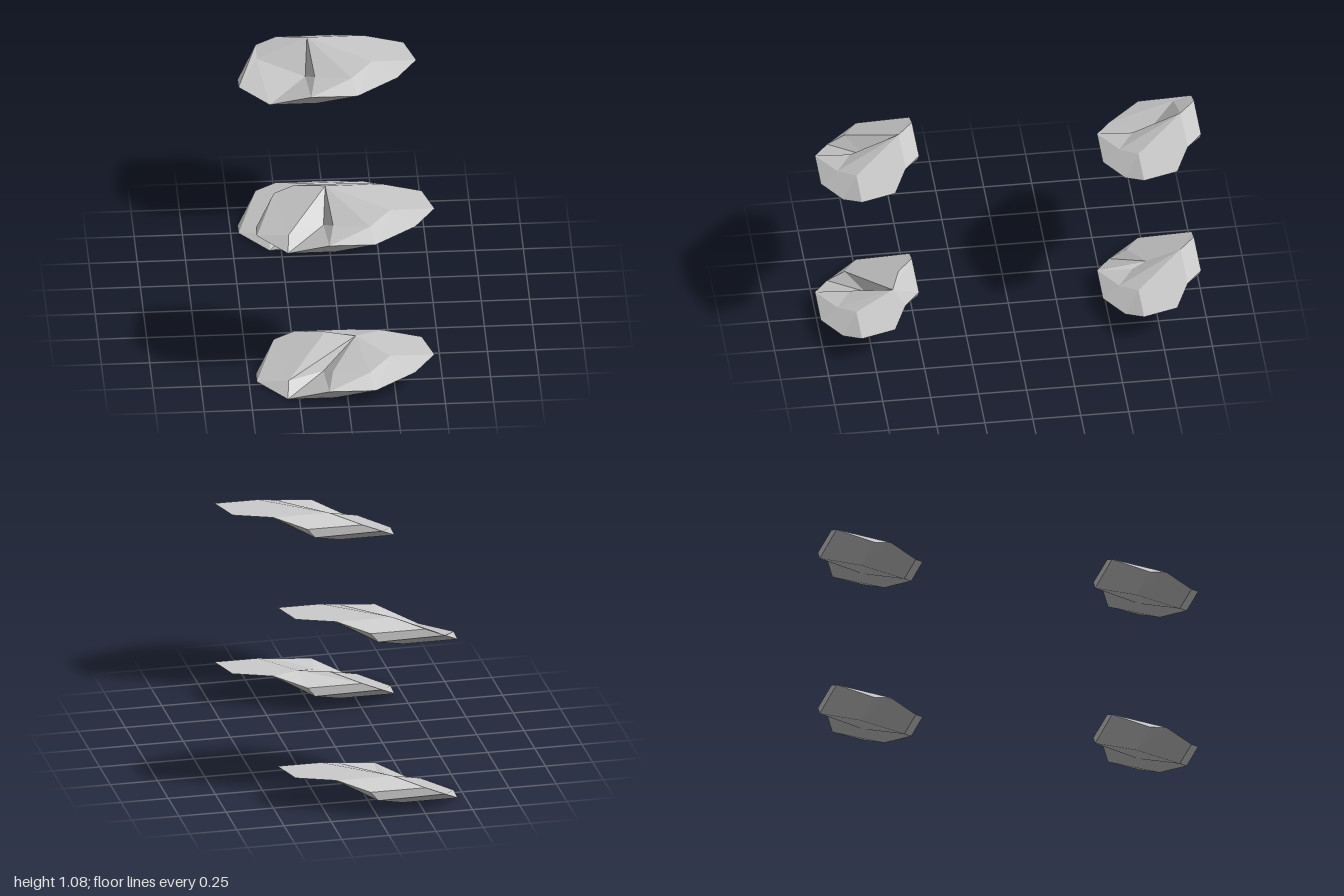
import * as THREE from 'three';

const material = new THREE.MeshStandardMaterial({ color: 0xcccccc, flatShading: true });
const peak = [-0.095, 0.19, -0.175];

// One slanted slab of rock: three loops (base, rim, crown) joined by bands and capped.
function rockGeometry({ hollow, shoulder, apex }) {
  const backL = [-0.46, 0, -0.09], tipL = [-0.46, 0.008, 0], backBase = [-0.17, 0, -0.09];
  const frontBase = [-0.064, 0, 0.17], frontL = [-0.31, 0, 0.17];
  const rimBackL = [-0.355, 0.1, -0.265], rimBack = [0, 0.095, -0.265];
  const rimR = [0.35, 0.137, 0.17], rimFront = [-0.1, 0.092, 0.26];

  // each row is one station around the rock: base, rim, crown
  const stations = [
    [backL, rimBackL, [-0.25, 0.145, -0.265]],
    [backBase, rimBack, [0.04, 0.145, -0.265]],
    [backBase, rimBack, [0.2, 0.19, -0.175]],
    [backBase, [0.22, 0.14, 0.02], [0.4, 0.19, -0.095]], // undercut below the overhang
    [[0.22, 0.14, 0.02], rimR, [0.455, 0.19, 0.085]],
    [[0.22, 0.14, 0.02], rimR, [0.225, 0.19, 0.085]],
    [[0.22, 0.14, 0.02], [0.14, 0.09, 0.26], [0.115, 0.145, 0.17]],
    [frontBase, [0.14, 0.09, 0.26], [0.115, 0.145, 0.17]],
    [frontL, rimFront, [-0.07, 0.105, 0.08]],
    [frontL, rimFront, hollow],
    [frontL, frontL, shoulder],
    [tipL, tipL, shoulder],
    [backL, rimBackL, peak],
  ];

  const positions = [];
  const same = (a, b) => a.every((v, i) => v === b[i]);
  const tri = (a, b, c) => {
    if (!same(a, b) && !same(b, c) && !same(c, a)) positions.push(...a, ...b, ...c);
  };
  stations.forEach((s, i) => {
    const n = stations[(i + 1) % stations.length];
    for (let k = 0; k < 2; k++) {
      tri(s[k], s[k + 1], n[k]);
      tri(s[k + 1], n[k + 1], n[k]);
    }
    tri(apex, n[2], s[2]); // crown facets
    tri(backBase, s[0], n[0]); // base and undercut
  });

  const geometry = new THREE.BufferGeometry();
  geometry.setAttribute('position', new THREE.Float32BufferAttribute(positions, 3));
  geometry.computeVertexNormals();
  return geometry;
}

export function createModel() {
  const group = new THREE.Group();
  group.name = 'rocks';
  const hollow = [-0.115, 0.06, 0], shoulder = [-0.3, 0.058, 0.08];

  // four rocks with the same outline and differently chipped tops
  const rocks = [
    { name: 'upperFrontRock', y: 0.885, z: 0.735, hollow, shoulder, apex: peak },
    { name: 'upperBackRock', y: 0.885, z: -0.735, hollow, shoulder: [-0.355, 0.073, -0.17], apex: peak },
    { name: 'lowerFrontRock', y: 0, z: 0.735, hollow, shoulder, apex: [0.06, 0.19, -0.125] },
    { name: 'lowerBackRock', y: 0, z: -0.735, hollow: [-0.115, 0.115, 0], shoulder, apex: peak },
  ];
  for (const rock of rocks) {
    const mesh = new THREE.Mesh(rockGeometry(rock), material);
    mesh.name = rock.name;
    mesh.position.set(0, rock.y, rock.z);
    group.add(mesh);
  }
  return group;
}
